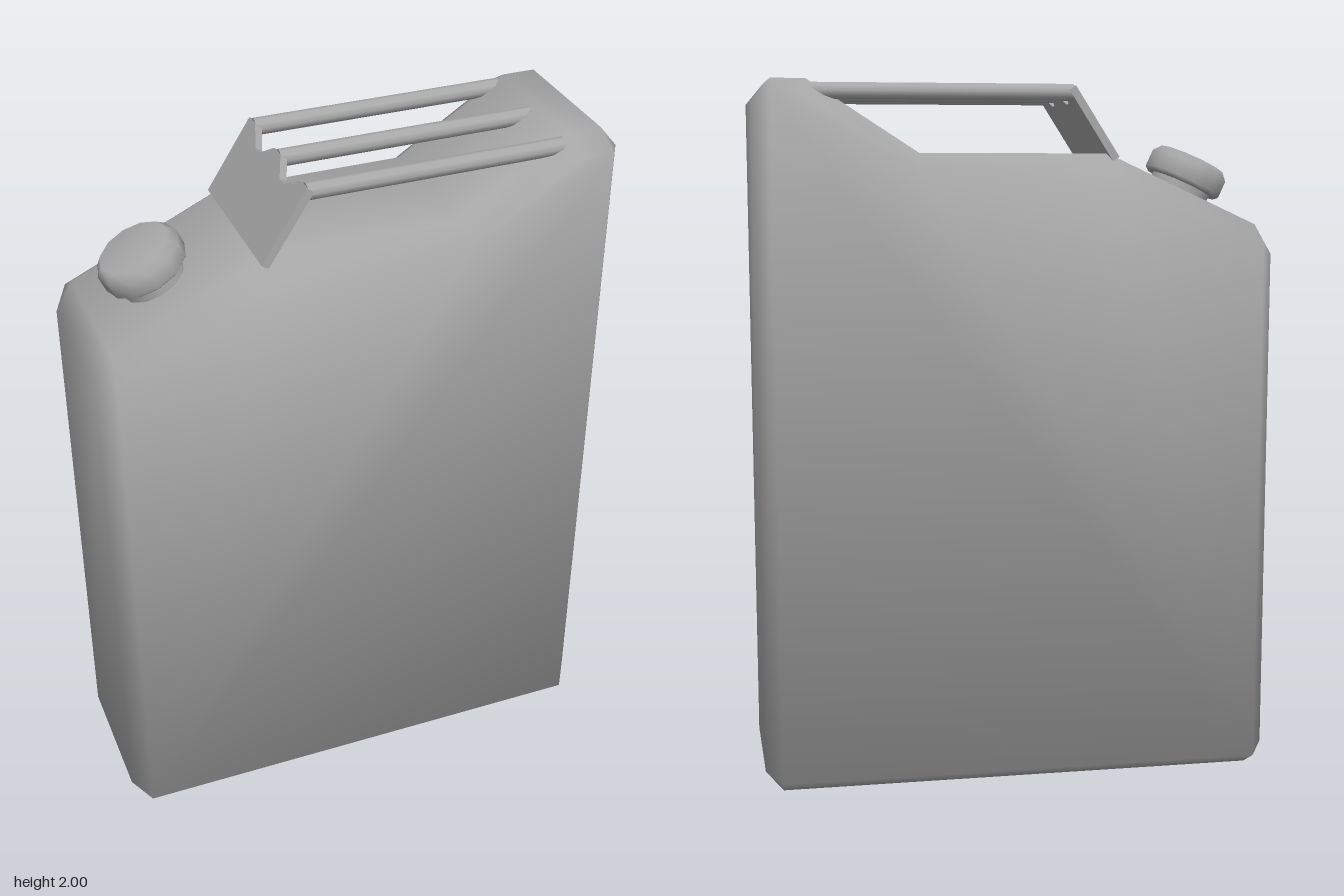
import * as THREE from 'three';

const material = new THREE.MeshStandardMaterial({ color: 0xa8a8a8 });

function addMesh(parent, name, geometry) {
  const mesh = new THREE.Mesh(geometry, material);
  mesh.name = name;
  parent.add(mesh);
  return mesh;
}

const toVectors = (points) => points.map(([x, y]) => new THREE.Vector2(x, y));

// Smooth normals in which each face counts by its corner angle, not its area
function angleWeightedNormals(points, indices) {
  const normals = points.map(() => new THREE.Vector3());
  for (let t = 0; t < indices.length; t += 3) {
    for (let k = 0; k < 3; k++) {
      const [a, b, c] = [0, 1, 2].map((n) => indices[t + (k + n) % 3]);
      const ab = points[b].clone().sub(points[a]);
      const ac = points[c].clone().sub(points[a]);
      const faceNormal = ab.clone().cross(ac).normalize();
      normals[a].addScaledVector(faceNormal, ab.angleTo(ac));
    }
  }
  return normals.map((n) => n.normalize());
}

// Corners of the can, counter-clockwise: the point on the flat front, then
// the one or two points of the wider middle band
const corners = [
  { face: [-0.69, 0.042], band: [[-0.735, 0.06], [-0.685, 0]] },
  { face: [0.69, 0.042], band: [[0.685, 0], [0.735, 0.06]] },
  { face: [0.69, 1.958], band: [[0.735, 1.94], [0.685, 2]] },
  { face: [0.604, 1.958], band: [[0.59, 2]] },
  { face: [0.293, 1.757], band: [[0.28, 1.8]] },
  { face: [-0.241, 1.757], band: [[-0.25, 1.8]] },
  { face: [-0.69, 1.552], band: [[-0.685, 1.6], [-0.735, 1.515]] },
];

function bodyGeometry() {
  const points = [], indices = [];
  const addPoint = ([x, y], z) => points.push(new THREE.Vector3(x, y, z)) - 1;
  const cap = THREE.ShapeUtils.triangulateShape(toVectors(corners.map((c) => c.face)), []);

  // Front and back: flat cap, bevel along each edge, triangle at each cut corner
  const bands = [1, -1].map((side) => {
    const triangle = (a, b, c) => indices.push(...(side > 0 ? [a, b, c] : [a, c, b]));
    const face = corners.map((c) => addPoint(c.face, side * 0.272));
    const band = corners.map((c) => c.band.map((p) => addPoint(p, side * 0.2)));
    cap.forEach(([a, b, c]) => triangle(face[a], face[b], face[c]));
    corners.forEach((corner, i) => {
      const next = (i + 1) % corners.length;
      const from = band[i].at(-1), to = band[next][0];
      triangle(from, to, face[next]);
      triangle(from, face[next], face[i]);
      if (band[i].length === 2) triangle(band[i][0], band[i][1], face[i]);
    });
    return band.flat();
  });

  // Middle band joining front and back
  const [front, back] = bands;
  front.forEach((a, i) => {
    const next = (i + 1) % front.length;
    indices.push(a, back[i], back[next], a, back[next], front[next]);
  });

  const geometry = new THREE.BufferGeometry().setFromPoints(points);
  geometry.setIndex(indices);
  const normals = angleWeightedNormals(points, indices).flatMap((n) => n.toArray());
  geometry.setAttribute('normal', new THREE.Float32BufferAttribute(normals, 3));
  return geometry;
}

export function createModel() {
  const model = new THREE.Group();
  model.name = 'fuelCan';
  addMesh(model, 'body', bodyGeometry());

  // Carrying handle: three bars running into the raised rear shoulder
  const handle = new THREE.Group();
  handle.name = 'handle';
  model.add(handle);
  const barRadius = 0.024, barStart = -0.15, barEnd = 0.585;
  for (const z of [-0.2, 0, 0.2]) {
    const bar = new THREE.CylinderGeometry(barRadius, barRadius, barEnd - barStart, 10);
    bar.rotateZ(Math.PI / 2);
    addMesh(handle, 'handleBar', bar).position.set((barStart + barEnd) / 2, 1.967, z);
  }

  // Sloping plate under the bar ends, scalloped between the bars
  const top = 0.212, notch = 0.17;
  const plateShape = new THREE.Shape(toVectors([
    [-0.224, -0.02], [0.224, -0.02], [0.224, top], [0.175, top], [0.11, notch], [0.08, notch],
    [0.025, top], [-0.025, top], [-0.08, notch], [-0.11, notch], [-0.175, top], [-0.224, top],
  ]));
  const plate = new THREE.ExtrudeGeometry(plateShape, { depth: 0.022, bevelEnabled: false });
  const slope = new THREE.Vector3(0.54, 0.84, 0).normalize();
  const across = new THREE.Vector3(0, 0, 1);
  const outward = new THREE.Vector3().crossVectors(across, slope);
  plate.applyMatrix4(new THREE.Matrix4().makeBasis(across, slope, outward).setPosition(-0.25, 1.795, 0));
  addMesh(handle, 'handlePlate', plate);

  // Filler neck and screw lid, square to the sloping shoulder
  const filler = new THREE.Group();
  filler.name = 'filler';
  filler.position.set(-0.508, 1.68, 0);
  filler.rotation.z = Math.atan2(0.2, 0.435);
  model.add(filler);
  const lathe = (points) => new THREE.LatheGeometry(toVectors(points), 12);
  addMesh(filler, 'neck', lathe([[0.092, -0.03], [0.092, 0.045]]));
  addMesh(filler, 'lid', lathe([
    [0, 0.034], [0.108, 0.034], [0.12, 0.044], [0.12, 0.09], [0.1, 0.113], [0, 0.115],
  ]));

  return model;
}
